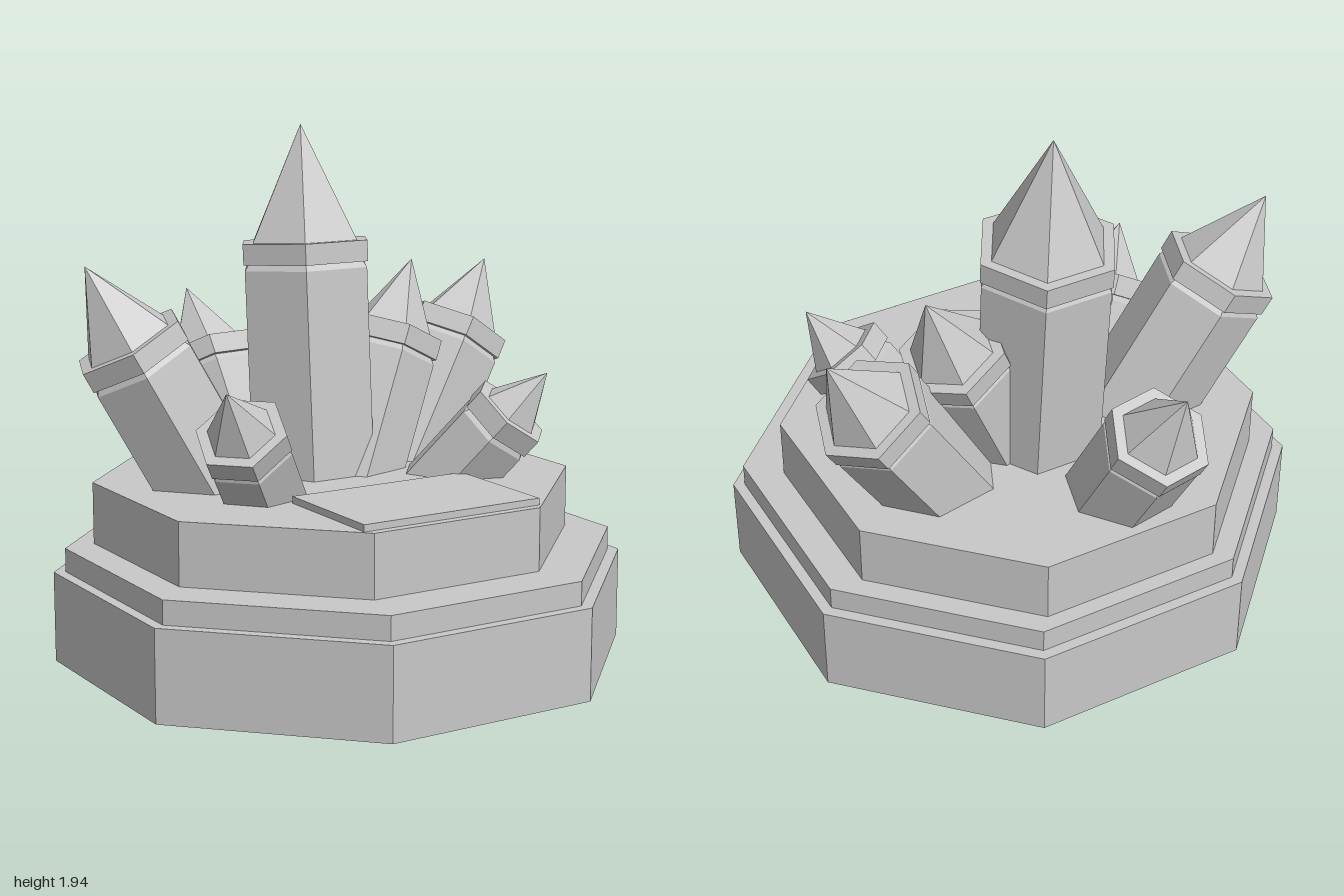
import * as THREE from 'three';

const stone = new THREE.MeshStandardMaterial({ color: 0xc8c8c8, flatShading: true });
stone.name = 'greyStone';

function add(parent, name, geometry) {
  const mesh = new THREE.Mesh(geometry, stone);
  mesh.name = name;
  parent.add(mesh);
  return mesh;
}

// Prism or frustum standing on height y0, with corners turned by `turn`
function prism(rBottom, rTop, y0, y1, sides, turn) {
  return new THREE.CylinderGeometry(rTop, rBottom, y1 - y0, sides, 1, false, turn)
    .translate(0, (y0 + y1) / 2, 0);
}

// Octagonal tier given by the distance from its centre to its flat sides
function addTier(parent, name, apothem, y0, y1, z) {
  const r = apothem / Math.cos(Math.PI / 8);
  add(parent, name, prism(r, r, y0, y1, 8, Math.PI / 8)).position.z = z;
}

// Six-sided crystal: origin at the collar's top centre, axis running to the tip
function addCrystal(parent, { name, centre, lean, r, spin = 0 }) {
  const crystal = new THREE.Group();
  crystal.name = name;
  const axis = new THREE.Vector3(...lean);
  const tipHeight = axis.length();
  axis.normalize();
  const turn = Math.PI / 6 + THREE.MathUtils.degToRad(spin);
  const root = -(centre[1] - 0.5) / axis.y;

  add(crystal, 'shaft', prism(r - 0.005, r - 0.005, root, -0.1, 6, turn));
  add(crystal, 'groove', prism(r - 0.005, r - 0.02, -0.1, -0.078, 6, turn));
  add(crystal, 'collar', prism(r, r, -0.078, 0, 6, turn));
  const tip = new THREE.ConeGeometry(r - 0.043, tipHeight, 6, 1, true, turn);
  add(crystal, 'tip', tip.translate(0, tipHeight / 2, 0));

  crystal.position.set(...centre);
  crystal.quaternion.setFromUnitVectors(new THREE.Vector3(0, 1, 0), axis);
  parent.add(crystal);
}

export function createModel() {
  const model = new THREE.Group();
  model.name = 'crystalPedestal';

  // Stepped octagonal base
  addTier(model, 'lowerTier', 0.985, 0, 0.337, 0.015);
  addTier(model, 'middleTier', 0.945, 0.337, 0.425, 0.015);
  addTier(model, 'upperTier', 0.825, 0.425, 0.655, -0.045);

  // Flat slab at the front of the top tier
  add(model, 'slab', new THREE.BoxGeometry(0.725, 0.025, 0.475)).position.set(0, 0.6675, 0.51);

  // Crystal cluster
  const crystals = [
    { name: 'centreCrystal', centre: [0, 1.51, -0.25], lean: [0, 0.43, -0.029], r: 0.265 },
    { name: 'rightCrystal', centre: [-0.735, 1.19, -0.255], lean: [-0.145, 0.275, -0.04], r: 0.222, spin: 8 },
    { name: 'leftInnerCrystal', centre: [0.36, 1.15, -0.205], lean: [0.115, 0.26, -0.04], r: 0.2, spin: 15 },
    { name: 'leftCrystal', centre: [0.745, 1.12, -0.325], lean: [0.155, 0.25, -0.035], r: 0.21, spin: 10 },
    { name: 'backCrystal', centre: [-0.11, 1.03, -0.84], lean: [-0.02, 0.225, -0.122], r: 0.19, spin: 10 },
    { name: 'frontRightCrystal', centre: [-0.545, 0.92, 0.235], lean: [-0.1, 0.16, 0.08], r: 0.17, spin: 10 },
    { name: 'frontLeftCrystal', centre: [0.56, 0.895, 0.305], lean: [0.09, 0.15, 0.095], r: 0.163, spin: -10 },
  ];
  crystals.forEach((c) => addCrystal(model, c));

  return model;
}
